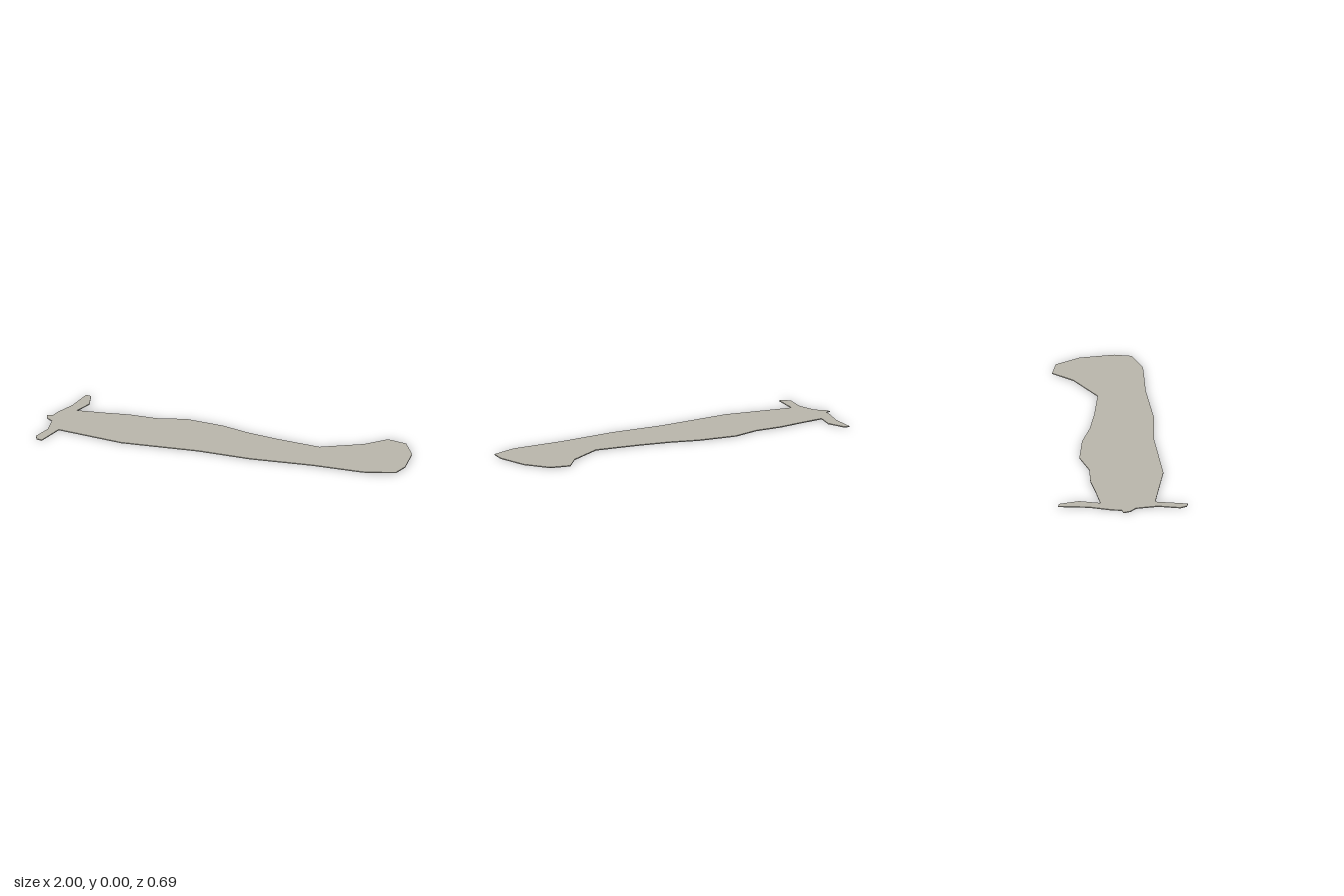
import * as THREE from 'three';

const THICKNESS = 0.005;

// Outline as [x, z], split into the regions it runs through
const backArm = [
  [-1, 0.01], [-0.97, 0], [-0.965, -0.05], [-0.93, -0.17],
  [-0.92, -0.33], [-0.89, -0.325], [-0.855, -0.22], [-0.88, -0.11],
];
const backEdge = [
  [-0.73, -0.135], [-0.605, -0.16], [-0.455, -0.165], [-0.305, -0.215],
  [-0.095, -0.2], [0.06, -0.16], [0.235, -0.135], [0.48, -0.115],
];
const broadEnd = [
  [0.68, -0.24], [0.77, -0.35], [0.88, -0.33], [0.965, -0.205],
  [1, -0.025], [0.985, 0.065], [0.85, 0.12], [0.805, 0.125],
];
const frontEdge = [
  [0.545, 0.135], [0.21, 0.175], [-0.08, 0.175], [-0.495, 0.22], [-0.865, 0.175],
];
const frontArm = [
  [-0.89, 0.345], [-0.92, 0.34], [-0.94, 0.305], [-0.92, 0.19],
  [-0.945, 0.075], [-0.985, 0.045],
];

export function createModel() {
  const group = new THREE.Group();
  group.name = 'flatSlab';

  const stone = new THREE.MeshStandardMaterial({ color: 0xb8b5aa });
  stone.name = 'warm grey';

  // Thin slab lying flat on the ground
  const outline = [...backArm, ...backEdge, ...broadEnd, ...frontEdge, ...frontArm];
  const shape = new THREE.Shape(outline.map(([x, z]) => new THREE.Vector2(x, -z)));
  const geometry = new THREE.ExtrudeGeometry(shape, { depth: THICKNESS, bevelEnabled: false });
  geometry.rotateX(-Math.PI / 2);

  const slab = new THREE.Mesh(geometry, stone);
  slab.name = 'slab';
  group.add(slab);
  return group;
}
